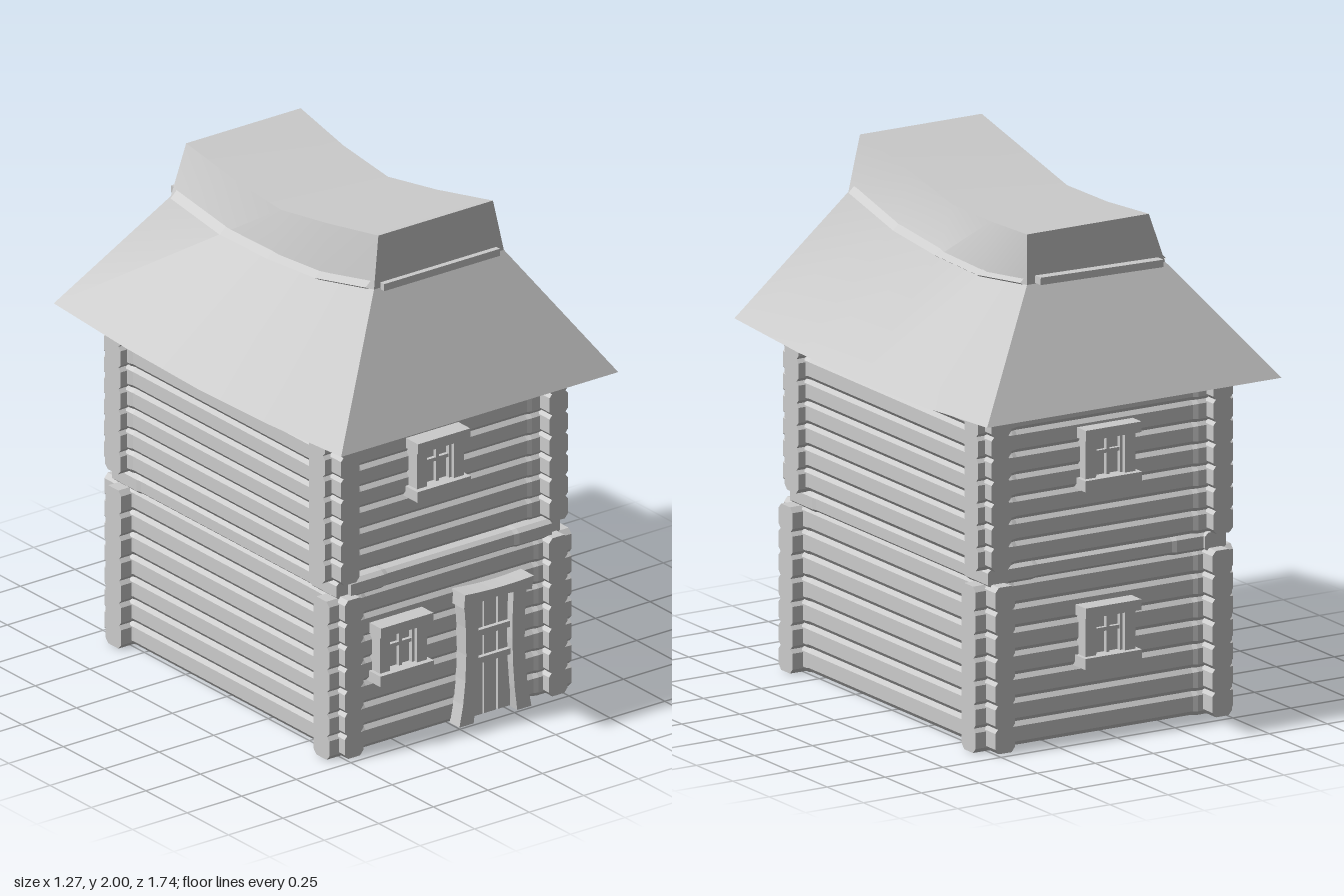
import * as THREE from 'three';
import { toCreasedNormals } from 'three/addons/utils/BufferGeometryUtils.js';

const grey = new THREE.MeshStandardMaterial({ color: 0xcccccc });
const grey2 = new THREE.MeshStandardMaterial({ color: 0xcccccc, side: THREE.DoubleSide });

function add(parent, name, geometry, x = 0, y = 0, z = 0, material = grey) {
  const mesh = new THREE.Mesh(geometry, material);
  mesh.name = name;
  mesh.position.set(x, y, z);
  parent.add(mesh);
  return mesh;
}
const box = (w, h, d) => new THREE.BoxGeometry(w, h, d);

// Hewn log along x: eight-sided, with slightly taller squared ends
function logGeometry(length, height, depth) {
  const rows = [-0.5 * length, -0.5 * length + 0.15, -0.5 * length + 0.17,
    0.5 * length - 0.17, 0.5 * length - 0.15, 0.5 * length];
  const g = new THREE.CylinderGeometry(1, 1, 1, 8, 5);
  g.rotateY(Math.PI / 8);
  const p = g.attributes.position, k = Math.cos(Math.PI / 8);
  for (let i = 0; i < p.count; i++) {
    const row = Math.round((p.getY(i) + 0.5) * 5);
    const end = row < 2 || row > 3;
    let a = p.getX(i) / k, b = p.getZ(i) / k;
    // tighter chamfers than a regular octagon
    if (Math.abs(a) < 0.9) a *= 1.55;
    if (Math.abs(b) < 0.9) b *= 1.5;
    p.setXYZ(i, rows[row], b * height / 2 * (end ? 1.06 : 0.99), -a * depth / 2 * (end ? 1 : 0.9));
  }
  // axis swap above mirrors nothing: (y, x, z) -> (x, z, -x) keeps winding
  const flat = g.toNonIndexed();
  flat.computeVertexNormals();
  return orientOutward(flat);
}

// Flip a convex solid if its faces point inward
function orientOutward(g) {
  const p = g.attributes.position, n = g.attributes.normal;
  let sum = 0;
  for (let i = 0; i < p.count; i++) {
    sum += p.getX(i) * n.getX(i) + p.getY(i) * n.getY(i) + p.getZ(i) * n.getZ(i);
  }
  if (sum < 0) {
    for (let i = 0; i < p.count; i += 3) {
      const b = new THREE.Vector3().fromBufferAttribute(p, i + 1);
      const c = new THREE.Vector3().fromBufferAttribute(p, i + 2);
      p.setXYZ(i + 1, c.x, c.y, c.z);
      p.setXYZ(i + 2, b.x, b.y, b.z);
    }
    g.computeVertexNormals();
  }
  return g;
}

// Four crossing log walls stacked into one storey
function storey(name, o) {
  const group = new THREE.Group();
  group.name = name;
  const across = logGeometry(o.halfX * 2, o.pitch + 0.003, 0.095);
  const along = logGeometry(o.halfZ * 2, o.pitch + 0.003, 0.085);
  along.rotateY(Math.PI / 2);
  for (let i = 0; i < o.count; i++) {
    const y = o.base + o.pitch * (i + 0.5);
    add(group, 'frontLog', across, 0, y, o.front);
    add(group, 'backLog', across, 0, y, o.back);
    for (const s of [-1, 1]) add(group, 'sideLog', along, s * o.wallX, y + 0.006, 0);
  }
  return group;
}

// Window with lintel, sill, jambs, shutters panel and glazing bars, facing +z
function windowUnit(x, y, z, turn = 0) {
  const w = new THREE.Group();
  w.name = 'window';
  add(w, 'lintel', box(0.24, 0.04, 0.085), 0, 0.097, 0.03);
  add(w, 'sill', box(0.245, 0.042, 0.085), 0, -0.095, 0.03);
  for (const s of [-1, 1]) {
    add(w, 'jamb', box(0.045, 0.16, 0.06), s * 0.085, 0, 0.02);
    add(w, 'sash', box(0.012, 0.155, 0.03), s * 0.056, 0, 0.02);
  }
  add(w, 'pane', box(0.13, 0.16, 0.02), 0, 0, 0.008);
  add(w, 'uprightBar', box(0.014, 0.16, 0.03), 0, 0, 0.018);
  add(w, 'crossBar', box(0.13, 0.014, 0.03), 0, 0.015, 0.018);
  w.position.set(x, y, z);
  w.rotation.y = turn;
  return w;
}

function doorUnit() {
  const door = new THREE.Group();
  door.name = 'door';
  const opts = { depth: 0.06, bevelEnabled: false, curveSegments: 5 };
  // Bowed door posts, flared at the foot
  for (const s of [-1, 1]) {
    const post = new THREE.Shape();
    const pts = (a, b, c) => [s * a, b, s * c];
    const [x0, , x1] = pts(0.165, 0, 0.1);
    post.moveTo(x0, 0);
    post.quadraticCurveTo(s * 0.115, 0.2, s * 0.145, 0.51);
    post.lineTo(s * 0.085, 0.51);
    post.quadraticCurveTo(s * 0.065, 0.22, x1, 0);
    add(door, 'doorPost', new THREE.ExtrudeGeometry(post, opts), 0, 0, 0.01);
  }
  // Lintel with a gentle arch
  const lintel = new THREE.Shape();
  lintel.moveTo(-0.155, 0.475);
  lintel.quadraticCurveTo(0, 0.50, 0.155, 0.475);
  lintel.lineTo(0.165, 0.525);
  lintel.quadraticCurveTo(0, 0.515, -0.15, 0.53);
  add(door, 'doorLintel', new THREE.ExtrudeGeometry(lintel, { ...opts, depth: 0.08 }), 0, 0, 0.005);
  // Planks and battens
  add(door, 'doorBack', box(0.2, 0.48, 0.02), 0, 0.245, 0.01);
  for (const i of [-1, 0, 1]) add(door, 'doorPlank', box(0.056, 0.48, 0.025), i * 0.064, 0.25, 0.025);
  for (const y of [0.235, 0.345]) add(door, 'doorBatten', box(0.185, 0.024, 0.02), 0, y, 0.045);
  door.position.set(0.167, 0.004, 0.675);
  return door;
}

// Roof: six-point cross-sections swept from front to back
const eaveZ = [0.87, 0.435, 0, -0.435, -0.87];
const ridgeZ = [0.62, 0.3, 0, -0.3, -0.61];
const eaveY = [1.3, 1.275, 1.265, 1.275, 1.3];
const creaseY = [1.79, 1.72, 1.695, 1.69, 1.73];
const topY = [2.0, 1.935, 1.88, 1.892, 1.922];
const topR = [0.25, 0.235, 0.238, 0.262, 0.3];
const topL = [-0.275, -0.268, -0.255, -0.24, -0.225];

function roofGeometry() {
  const section = eaveZ.map((ez, i) => {
    const rz = ridgeZ[i];
    return [[0.635, eaveY[i], ez], [0.3, creaseY[i], rz], [topR[i], topY[i], rz],
      [topL[i], topY[i], rz], [-0.295, creaseY[i], rz], [-0.635, eaveY[i], ez]];
  });
  const v = [];
  const quad = (a, b, c, d) => v.push(...a, ...b, ...c, ...a, ...c, ...d);
  for (let i = 0; i < 4; i++) {
    const f = section[i], b = section[i + 1];
    for (let j = 0; j < 6; j++) {
      const k = (j + 1) % 6;
      quad(f[j], b[j], b[k], f[k]);
    }
  }
  const f = section[0], b = section[4];
  quad(f[0], f[1], f[4], f[5]);
  quad(f[1], f[2], f[3], f[4]);
  quad(b[5], b[4], b[1], b[0]);
  quad(b[4], b[3], b[2], b[1]);
  const g = new THREE.BufferGeometry();
  g.setAttribute('position', new THREE.Float32BufferAttribute(v, 3));
  g.computeVertexNormals();
  return toCreasedNormals(g, 0.4);
}

// Narrow thatch lip following the sagging crease on one side
function lipGeometry(s) {
  const v = [];
  const row = (i) => [[s * 0.287, creaseY[i] + 0.03, ridgeZ[i] * 0.96],
    [s * 0.315, creaseY[i] + 0.004, ridgeZ[i] * 0.96], [s * 0.295, creaseY[i] - 0.008, ridgeZ[i] * 0.96]];
  for (let i = 0; i < 4; i++) {
    const a = row(i), b = row(i + 1);
    for (let j = 0; j < 2; j++) {
      const q = s > 0 ? [a[j], a[j + 1], b[j + 1], b[j]] : [a[j], b[j], b[j + 1], a[j + 1]];
      v.push(...q[0], ...q[1], ...q[2], ...q[0], ...q[2], ...q[3]);
    }
  }
  const g = new THREE.BufferGeometry();
  g.setAttribute('position', new THREE.Float32BufferAttribute(v, 3));
  g.computeVertexNormals();
  return g;
}

export function createModel() {
  const house = new THREE.Group();
  house.name = 'logHouse';

  house.add(storey('lowerStorey', { base: 0.004, pitch: 0.089, count: 7,
    halfX: 0.555, halfZ: 0.728, wallX: 0.468, front: 0.645, back: -0.615 }));
  house.add(storey('upperStorey', { base: 0.695, pitch: 0.0845, count: 7,
    halfX: 0.55, halfZ: 0.718, wallX: 0.478, front: 0.612, back: -0.625 }));

  // Ledge beams between the storeys
  for (const z of [0.65, -0.62]) add(house, 'ledgeBeam', logGeometry(0.92, 0.068, 0.1), 0, 0.66, z);
  const sideBeam = logGeometry(1.36, 0.068, 0.09).rotateY(Math.PI / 2);
  for (const s of [-1, 1]) add(house, 'sideLedgeBeam', sideBeam, s * 0.468, 0.66, 0);

  // Windows
  house.add(windowUnit(-0.247, 0.385, 0.685));
  house.add(windowUnit(-0.055, 1.06, 0.655));
  for (const y of [0.385, 1.06]) {
    house.add(windowUnit(0, y, -0.655, Math.PI));
    house.add(windowUnit(0, y, -0.525, -Math.PI / 2));
  }
  house.add(doorUnit());

  // Roof and its lips
  add(house, 'roof', roofGeometry());
  for (const s of [-1, 1]) add(house, 'roofLip', lipGeometry(s), 0, 0, 0, grey2);
  add(house, 'frontRoofLip', box(0.53, 0.028, 0.03), 0, 1.797, 0.627);
  const backLip = add(house, 'backRoofLip', box(0.53, 0.028, 0.04), 0, 1.742, -0.628);
  backLip.rotation.z = 0.02;
  return house;
}
